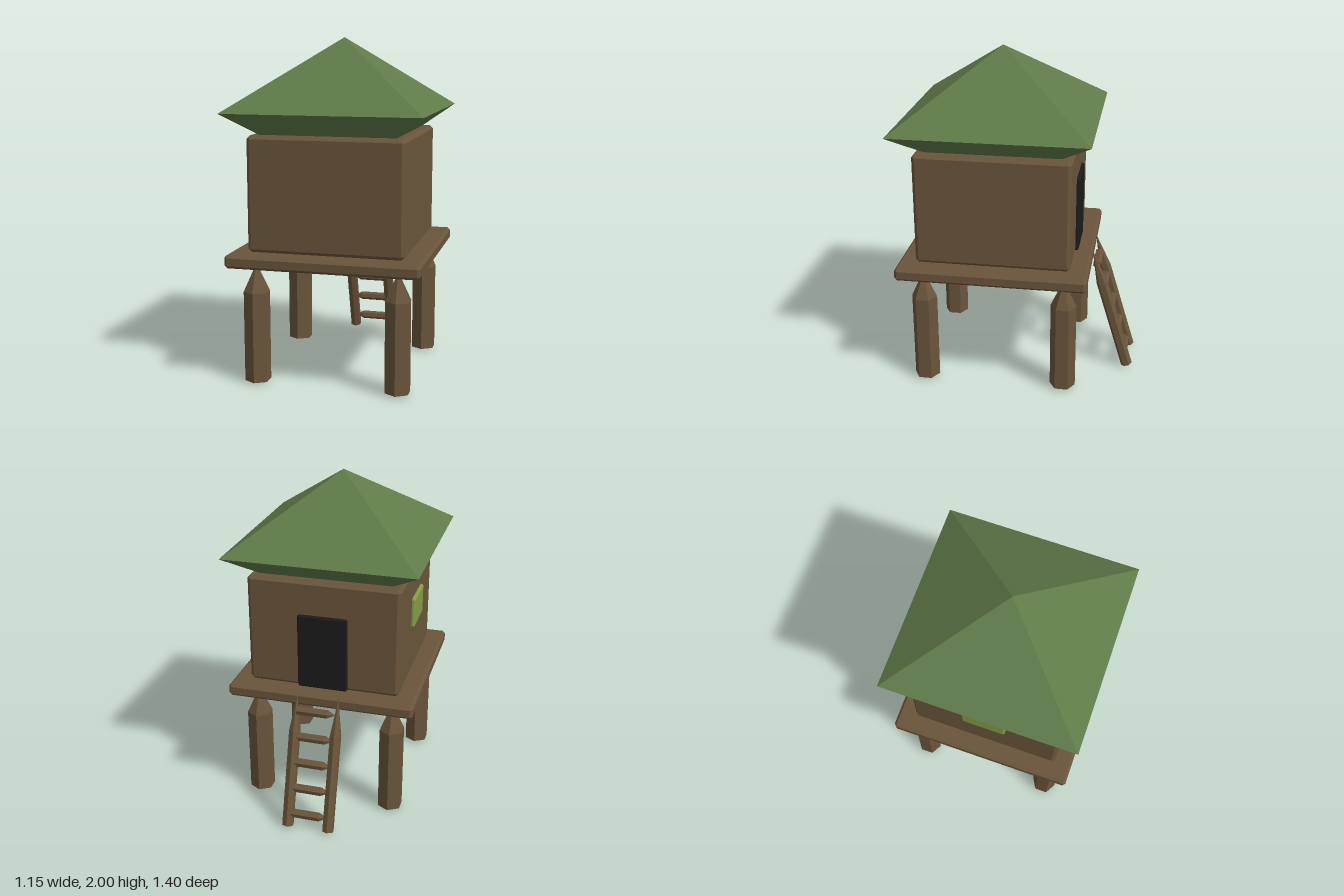
import * as THREE from 'three';
import { ConvexGeometry } from 'three/addons/geometries/ConvexGeometry.js';

const material = (name, color) => {
  const m = new THREE.MeshStandardMaterial({ color, flatShading: true });
  m.name = name;
  return m;
};

// Box with chamfered edges, centred on the origin
function chamferBox(w, h, d, c) {
  const points = [];
  for (const sx of [-1, 1]) for (const sy of [-1, 1]) for (const sz of [-1, 1]) {
    const x = w / 2, y = h / 2, z = d / 2;
    points.push(
      new THREE.Vector3(sx * x, sy * (y - c), sz * (z - c)),
      new THREE.Vector3(sx * (x - c), sy * y, sz * (z - c)),
      new THREE.Vector3(sx * (x - c), sy * (y - c), sz * z));
  }
  return new ConvexGeometry(points);
}

// Six-sided pole along +y with a sharpened top
function stake(radius, shoulder, tip) {
  const profile = [[0, 0], [radius, 0], [radius, shoulder], [0, tip]];
  return new THREE.LatheGeometry(profile.map(([x, y]) => new THREE.Vector2(x, y)), 6);
}

export function createModel() {
  const wood = material('wood', 0x6a553b);
  const roofGreen = material('roofGreen', 0x5f7a49);
  const doorBlack = material('doorBlack', 0x1b1b1b);
  const windowGreen = material('windowGreen', 0x849c45);

  const model = new THREE.Group();
  model.name = 'stiltHut';
  const add = (name, geometry, mat, x, y, z, parent = model) => {
    const mesh = new THREE.Mesh(geometry, mat);
    mesh.name = name;
    mesh.position.set(x, y, z);
    parent.add(mesh);
    return mesh;
  };
  const cz = 0.13; // hut centre, forward of the ladder

  // Roof: flattened double pyramid whose lower half sinks into the cabin
  const roof = new THREE.OctahedronGeometry(1, 0);
  roof.rotateY(Math.PI / 4);
  roof.scale(0.573 * Math.SQRT2, 0.415, 0.573 * Math.SQRT2);
  add('roof', roof, roofGreen, 0, 1.585, cz);

  // Cabin and deck
  add('cabin', chamferBox(0.914, 0.67, 0.914, 0.02), wood, 0, 1.122, cz);
  add('deck', chamferBox(1.124, 0.077, 1.124, 0.016), wood, 0, 0.748, cz);

  // Door on the back, window on the right side
  add('door', chamferBox(0.3, 0.46, 0.03, 0.008), doorBlack, 0, 1.02, -0.331);
  add('window', chamferBox(0.03, 0.185, 0.265, 0.008), windowGreen, -0.461, 1.188, cz);

  // Stilts
  const stiltGeometry = stake(0.077, 0.535, 0.7);
  for (const x of [-0.417, 0.417])
    for (const z of [-0.42, 0.42]) add('stilt', stiltGeometry, wood, x, 0.018, cz + z);

  // Ladder leaning against the back of the deck
  const ladder = new THREE.Group();
  ladder.name = 'ladder';
  ladder.position.set(0, 0.015, -0.665);
  ladder.rotation.x = Math.atan2(0.17, 0.56);
  model.add(ladder);
  const railGeometry = stake(0.035, 0.585, 0.805);
  for (const x of [-0.125, 0.125]) add('ladderRail', railGeometry, wood, x, 0, 0, ladder);
  const rungGeometry = stake(0.026, 0.185, 0.235);
  rungGeometry.rotateZ(Math.PI / 2);
  for (let i = 0; i < 5; i++)
    add('ladderRung', rungGeometry, wood, 0.12, 0.078 + i * 0.157, 0, ladder);

  return model;
}
